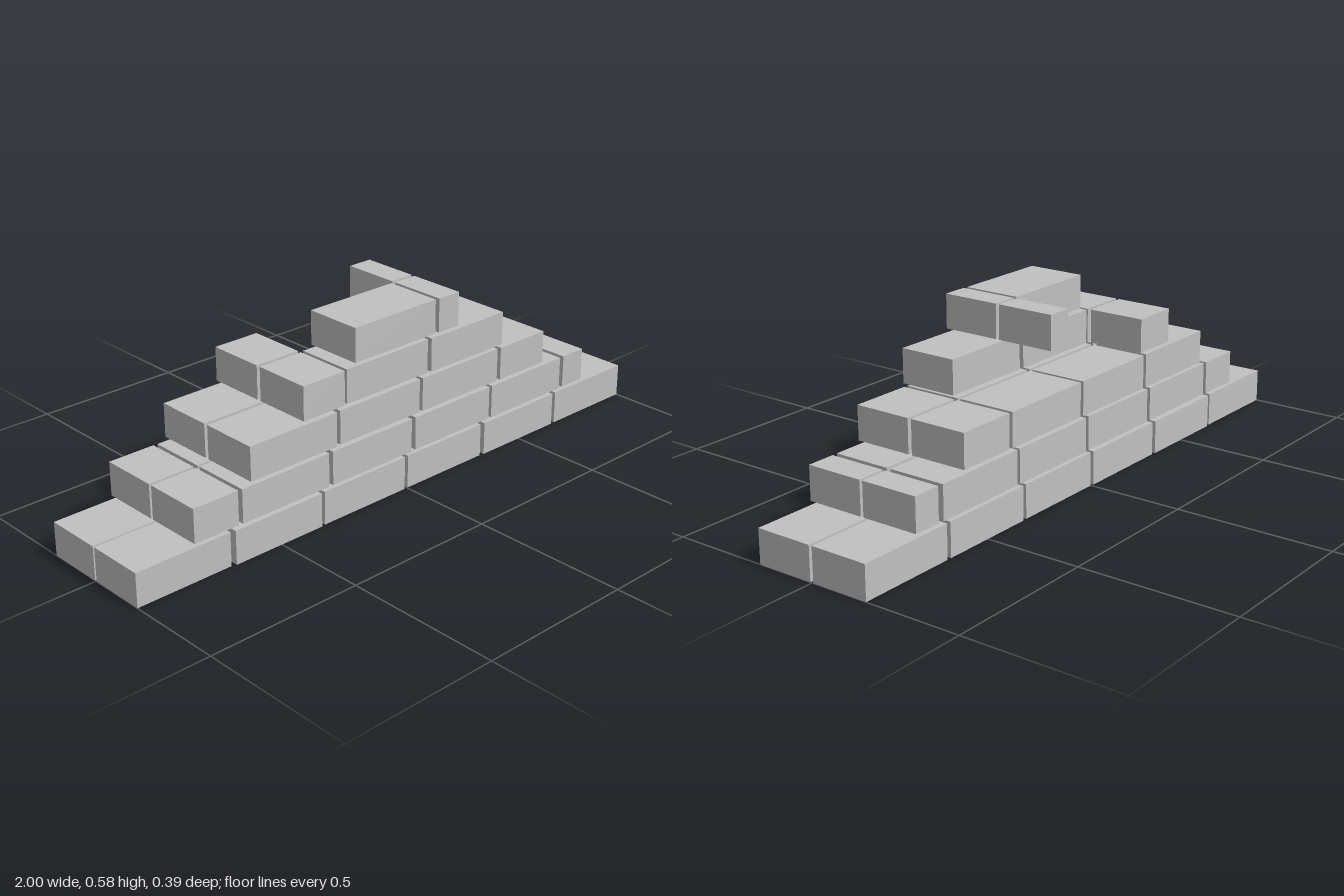
import * as THREE from 'three';

const BRICK_HEIGHT = 0.107;
const COURSE_STEP = 0.1186;
const BRICK_DEPTH = 0.187;

// Brick spans [x start, x end] per course, bottom to top
const COURSES = [
  [[-1, -0.68], [-0.665, -0.347], [-0.333, -0.01], [0.003, 0.322], [0.337, 0.66], [0.675, 1]],
  [[-0.804, -0.65], [-0.637, -0.317], [-0.302, 0.015], [0.032, 0.355], [0.366, 0.69], [0.707, 0.8]],
  [[-0.605, -0.286], [-0.271, 0.049], [0.061, 0.388], [0.401, 0.6]],
  [[-0.41, -0.255], [-0.243, 0.081], [0.094, 0.404]],
  [[-0.213, 0.109], [0.122, 0.204]],
];

// Bricks left out of the crumbling back wall, as course-index
const MISSING = new Set(['3-1', '3-2', '4-0']);

export function createModel() {
  const group = new THREE.Group();
  group.name = 'brickWall';
  const stone = new THREE.MeshStandardMaterial({ color: 0xc0c0c0 });
  stone.name = 'grey stone';

  // Small seeded offsets so the bricks look hand laid
  let seed = 7;
  const jitter = (amount) => {
    seed = (seed * 16807) % 2147483647;
    return (seed / 2147483647 - 0.5) * 2 * amount;
  };

  for (const [wallName, side] of [['frontWall', 1], ['backWall', -1]]) {
    const wall = new THREE.Group();
    wall.name = wallName;
    COURSES.forEach((course, row) => {
      course.forEach(([x0, x1], i) => {
        if (side < 0 && MISSING.has(`${row}-${i}`)) return;
        const brick = new THREE.Mesh(
          new THREE.BoxGeometry(x1 - x0, BRICK_HEIGHT, BRICK_DEPTH), stone);
        brick.name = x1 - x0 < 0.25 ? 'cutBrick' : 'brick';
        brick.position.set(
          (x0 + x1) / 2,
          row * COURSE_STEP + BRICK_HEIGHT / 2,
          side * 0.099 + jitter(0.0025));
        wall.add(brick);
      });
    });
    group.add(wall);
  }
  return group;
}
